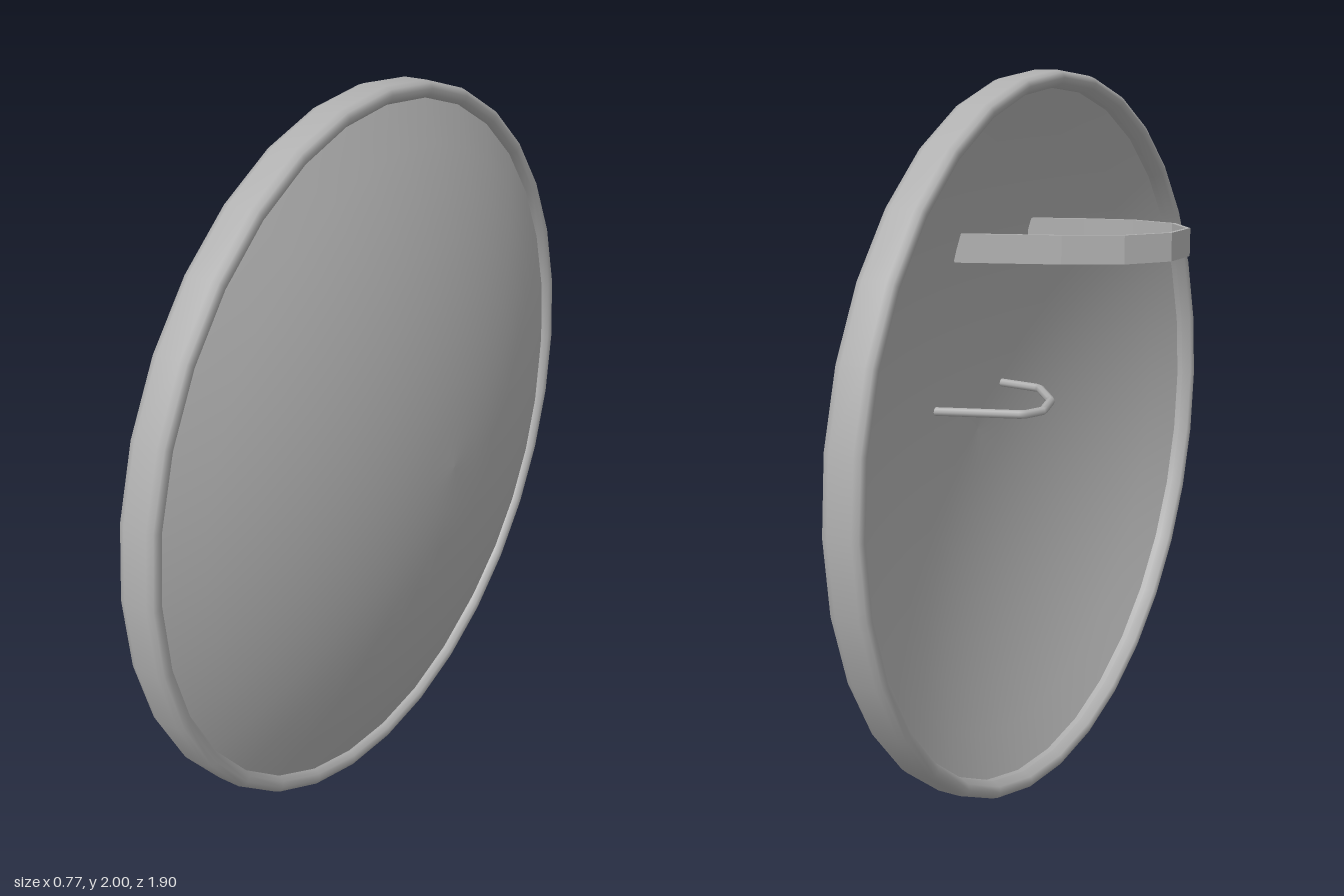
import * as THREE from 'three';

const SEGMENTS = 32;
const steel = new THREE.MeshStandardMaterial({ color: 0xb0b0b0 });
steel.name = 'grey steel';

function addMesh(parent, name, geometry) {
  const mesh = new THREE.Mesh(geometry, steel);
  mesh.name = name;
  parent.add(mesh);
  return mesh;
}

// Lathe from [radius, height] pairs
const lathe = (pairs) =>
  new THREE.LatheGeometry(pairs.map(([r, a]) => new THREE.Vector2(r, a)), SEGMENTS);

// Shallow spherical cap profile, from the axis out to the edge
function capProfile(top, edge, sphere = 2.12, steps = 8) {
  const pairs = [];
  for (let i = 0; i <= steps; i++) {
    const r = (edge * i) / steps;
    pairs.push([r, top - (sphere - Math.sqrt(sphere * sphere - r * r))]);
  }
  return pairs;
}

// Flat band of constant thickness following a path in plan
function bandGeometry(path, thickness, height) {
  const side = (sign) => path.map((p, i) => {
    const a = path[Math.max(i - 1, 0)];
    const b = path[Math.min(i + 1, path.length - 1)];
    const d = b.clone().sub(a).normalize().multiplyScalar((sign * thickness) / 2);
    return new THREE.Vector2(p.x - d.y, p.y + d.x);
  });
  const shape = new THREE.Shape([...side(1), ...side(-1).reverse()]);
  return new THREE.ExtrudeGeometry(shape, { depth: height, bevelEnabled: false })
    .rotateX(Math.PI / 2);
}

export function createModel() {
  const model = new THREE.Group();
  model.name = 'roundShield';

  // Domed disc and rim, turned to face the side and a little forward
  const disc = new THREE.Group();
  disc.name = 'shieldDisc';
  disc.rotation.set(0, -Math.PI / 9, -Math.PI / 2, 'YXZ');
  disc.position.y = 1;
  model.add(disc);

  addMesh(disc, 'domeFront', lathe(capProfile(0.262, 0.965).reverse()));
  addMesh(disc, 'domeBack', lathe(capProfile(0.225, 0.965)));

  // Rounded rim section, as a closed loop
  addMesh(disc, 'rim', lathe([
    [0.955, -0.02], [0.965, -0.045], [0.98, -0.052], [0.994, -0.046], [1, -0.03],
    [1, 0.035], [0.994, 0.052], [0.98, 0.058], [0.965, 0.053], [0.955, 0.04],
    [0.955, -0.02],
  ]));

  // Forearm strap
  const strapPath = [
    [0.22, -0.18], [-0.06, -0.18], [-0.22, -0.16], [-0.335, -0.09], [-0.378, 0.015],
    [-0.335, 0.12], [-0.22, 0.19], [-0.08, 0.205], [0.08, 0.205],
  ].map(([x, z]) => new THREE.Vector2(x, z));
  const strap = addMesh(model, 'armStrap', bandGeometry(strapPath, 0.012, 0.075));
  strap.position.y = 1.59;

  // Hand grip, a thin bent rod
  const gripPath = new THREE.CurvePath();
  const gripPoints = [
    [0.3, -0.17], [0.04, -0.175], [-0.005, -0.126], [-0.012, -0.01], [0.04, 0.14], [0.185, 0.212],
  ].map(([x, z]) => new THREE.Vector3(x, 1.11, z));
  for (let i = 1; i < gripPoints.length; i++) {
    gripPath.add(new THREE.LineCurve3(gripPoints[i - 1], gripPoints[i]));
  }
  addMesh(model, 'handGrip', new THREE.TubeGeometry(gripPath, 40, 0.012, 8));

  return model;
}
